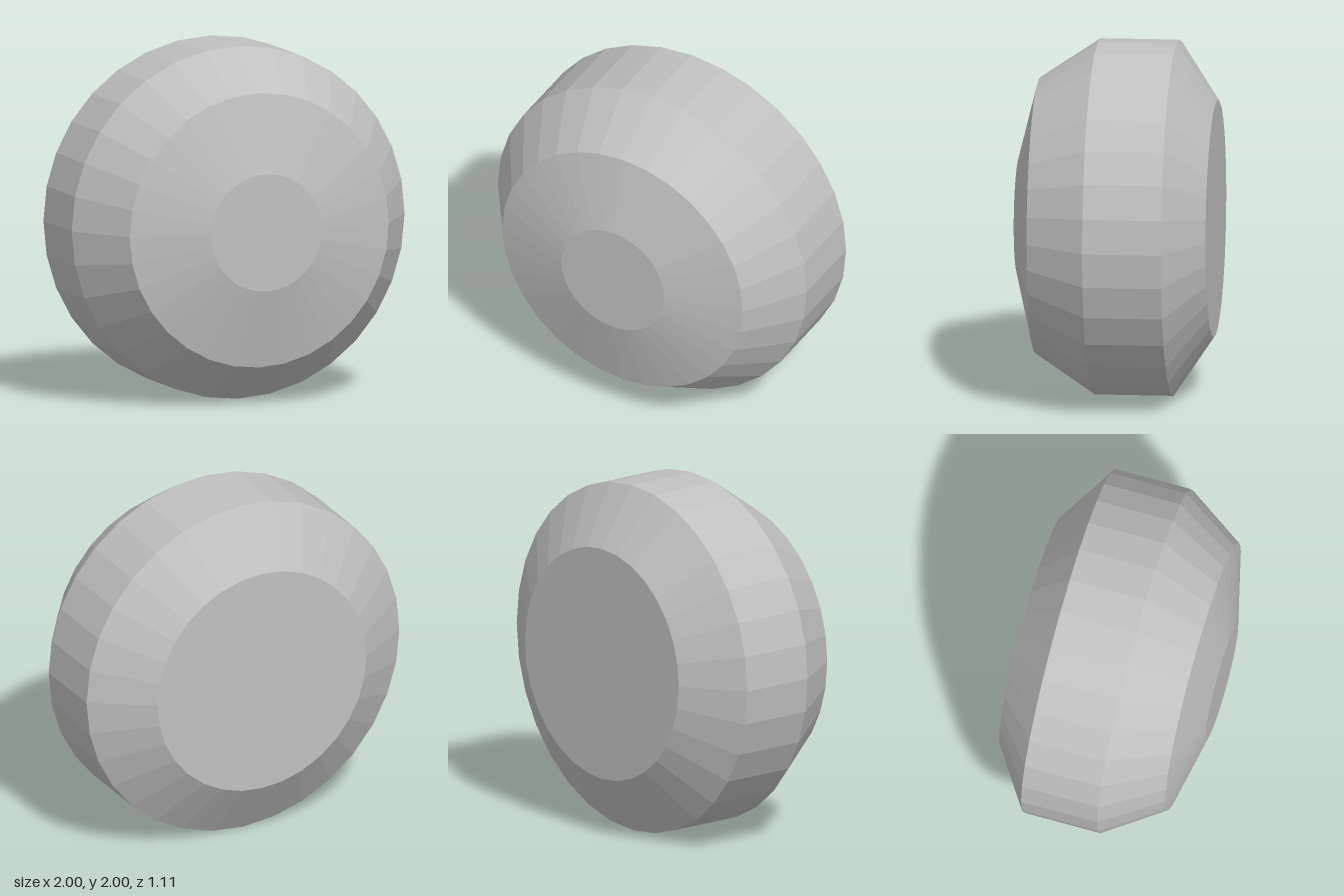
import * as THREE from 'three';

export function createModel() {
  const group = new THREE.Group();
  group.name = 'facetedWheel';

  const grey = new THREE.MeshStandardMaterial({ color: 0xc0c0c0 });
  grey.name = 'grey';

  // Turned profile, [radius, depth] from the back face to the front face
  const profile = [
    [0, -0.555],
    [0.667, -0.555],
    [1, -0.333],
    [1, 0.111],
    [0.778, 0.444],
    [0.333, 0.555],
    [0, 0.555],
  ].map(([r, z]) => new THREE.Vector2(r, z));

  // 32 flat facets around the axle, axle turned to point forward
  const geometry = new THREE.LatheGeometry(profile, 32).toNonIndexed();
  geometry.rotateX(Math.PI / 2);
  geometry.computeVertexNormals();

  const wheel = new THREE.Mesh(geometry, grey);
  wheel.name = 'wheel';
  wheel.position.y = 1;
  group.add(wheel);

  return group;
}
